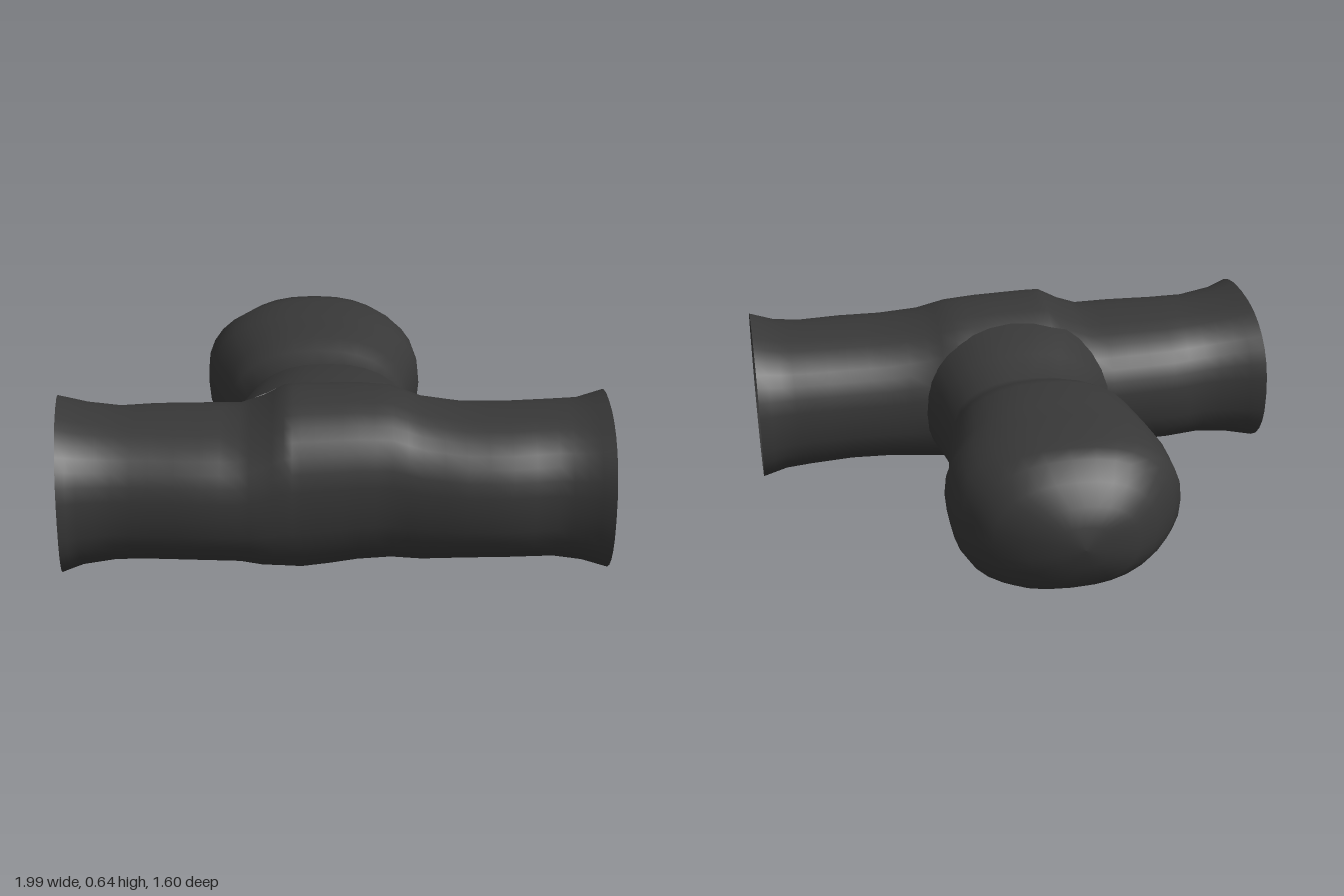
import * as THREE from 'three';

const SIDES = 32;
const POWER = 2.35;

// main tube stations: x, zMin, zMax, yMin, yMax
const TUBE = [
  [-0.972, 0.14, 0.8, 0.005, 0.605], [-0.88, 0.16, 0.77, 0.03, 0.58],
  [-0.76, 0.165, 0.75, 0.045, 0.563], [-0.63, 0.14, 0.755, 0.045, 0.563],
  [-0.45, 0.13, 0.77, 0.045, 0.563], [-0.32, 0.125, 0.77, 0.04, 0.563],
  [-0.24, 0.13, 0.77, 0.022, 0.597], [-0.16, 0.14, 0.765, 0.013, 0.645],
  [-0.1, 0.14, 0.757, 0.005, 0.65], [0, 0.14, 0.75, 0.016, 0.65],
  [0.1, 0.14, 0.742, 0.03, 0.65], [0.22, 0.15, 0.735, 0.038, 0.642],
  [0.33, 0.17, 0.747, 0.04, 0.605], [0.48, 0.175, 0.765, 0.055, 0.585],
  [0.64, 0.175, 0.77, 0.06, 0.585], [0.8, 0.17, 0.75, 0.055, 0.59],
  [0.9, 0.165, 0.765, 0.045, 0.597], [0.993, 0.14, 0.793, 0.02, 0.625],
];

// branch and bulb stations: z, xMin, xMax, yMin, yMax
const BULB = [
  [0.1, -0.335, 0.32, 0.03, 0.61], [0, -0.325, 0.295, 0.035, 0.56],
  [-0.07, -0.385, 0.3, 0.035, 0.59], [-0.14, -0.41, 0.31, 0.035, 0.617],
  [-0.28, -0.455, 0.33, 0.035, 0.607], [-0.37, -0.475, 0.36, 0.035, 0.61],
  [-0.45, -0.48, 0.36, 0.03, 0.61], [-0.53, -0.485, 0.355, 0.012, 0.605],
  [-0.58, -0.45, 0.335, 0.008, 0.6], [-0.64, -0.41, 0.295, 0.04, 0.587],
  [-0.7, -0.36, 0.235, 0.085, 0.53], [-0.755, -0.285, 0.12, 0.14, 0.46],
  [-0.79, -0.18, 0.03, 0.23, 0.4], [-0.8, -0.08, -0.08, 0.31, 0.31],
];
const MOUTH = [-0.36, 0.35, 0.045, 0.63];

// rounded cross-section as [a, y] pairs
function section(aMin, aMax, yMin, yMax) {
  const bend = (v) => Math.sign(v) * Math.abs(v) ** (2 / POWER);
  return Array.from({ length: SIDES }, (_, i) => {
    const t = (i / SIDES) * Math.PI * 2;
    return [
      (aMin + aMax) / 2 + ((aMax - aMin) / 2) * bend(Math.cos(t)),
      (yMin + yMax) / 2 + ((yMax - yMin) / 2) * bend(Math.sin(t)),
    ];
  });
}

// smooth skin over closed rings, leaving out the quads that skip() accepts
function loft(rings, skip = () => false) {
  const index = [];
  for (let r = 0; r < rings.length - 1; r++) {
    for (let i = 0; i < SIDES; i++) {
      const k = (i + 1) % SIDES;
      if (skip([rings[r][i], rings[r][k], rings[r + 1][i], rings[r + 1][k]])) continue;
      const a = r * SIDES + i, b = r * SIDES + k;
      index.push(a, a + SIDES, b, b, a + SIDES, b + SIDES);
    }
  }
  const geometry = new THREE.BufferGeometry();
  geometry.setAttribute('position', new THREE.Float32BufferAttribute(rings.flat(2), 3));
  geometry.setIndex(index);
  geometry.computeVertexNormals();
  return geometry;
}

// tube station interpolated at x
function tubeAt(x) {
  let i = 0;
  while (i < TUBE.length - 2 && TUBE[i + 1][0] < x) i++;
  const t = (x - TUBE[i][0]) / (TUBE[i + 1][0] - TUBE[i][0]);
  return TUBE[i].map((v, k) => THREE.MathUtils.lerp(v, TUBE[i + 1][k], t));
}

// z of the tube's rear wall at x, y
function rearWall(x, y) {
  const [, z0, z1, y0, y1] = tubeAt(x);
  const v = Math.min(0.985, Math.abs((y - (y0 + y1) / 2) / ((y1 - y0) / 2)));
  return (z0 + z1) / 2 - ((z1 - z0) / 2) * (1 - v ** POWER) ** (1 / POWER);
}

function insideMouth([x, y, z]) {
  const [x0, x1, y0, y1] = MOUTH;
  const u = Math.abs((2 * x - x0 - x1) / (x1 - x0));
  const v = Math.abs((2 * y - y0 - y1) / (y1 - y0));
  return z < 0.45 && u ** POWER + v ** POWER < 1;
}

export function createModel() {
  const group = new THREE.Group();
  const charcoal = new THREE.MeshStandardMaterial({ color: 0x383838, side: THREE.DoubleSide });
  charcoal.name = 'charcoal';

  // open tube with flared ends, the left-hand one cut at a slant
  const xs = [];
  TUBE.forEach(([x], i) => {
    xs.push(x);
    if (i < TUBE.length - 1) xs.push((x + TUBE[i + 1][0]) / 2);
  });
  const tubeRings = xs.map((x, i) => {
    const [, z0, z1, y0, y1] = tubeAt(x);
    const slant = i === 0 ? 0.085 : i === 1 ? 0.04 : 0;
    return section(z0, z1, y0, y1).map(([z, y]) => [x + (z - 0.47) * slant, y, z]);
  });
  const tube = new THREE.Mesh(loft(tubeRings, (quad) => quad.every(insideMouth)), charcoal);
  tube.name = 'openTube';
  group.add(tube);

  // branch growing out of the rear wall into a closed bulb
  const mouth = section(...MOUTH).map(([x, y]) => [x, y, rearWall(x, y)]);
  const bulbRings = BULB.map(([z, ...box]) => section(...box).map(([x, y]) => [x, y, z]));
  const bulb = new THREE.Mesh(loft([mouth, ...bulbRings]), charcoal);
  bulb.name = 'branchBulb';
  group.add(bulb);

  return group;
}
